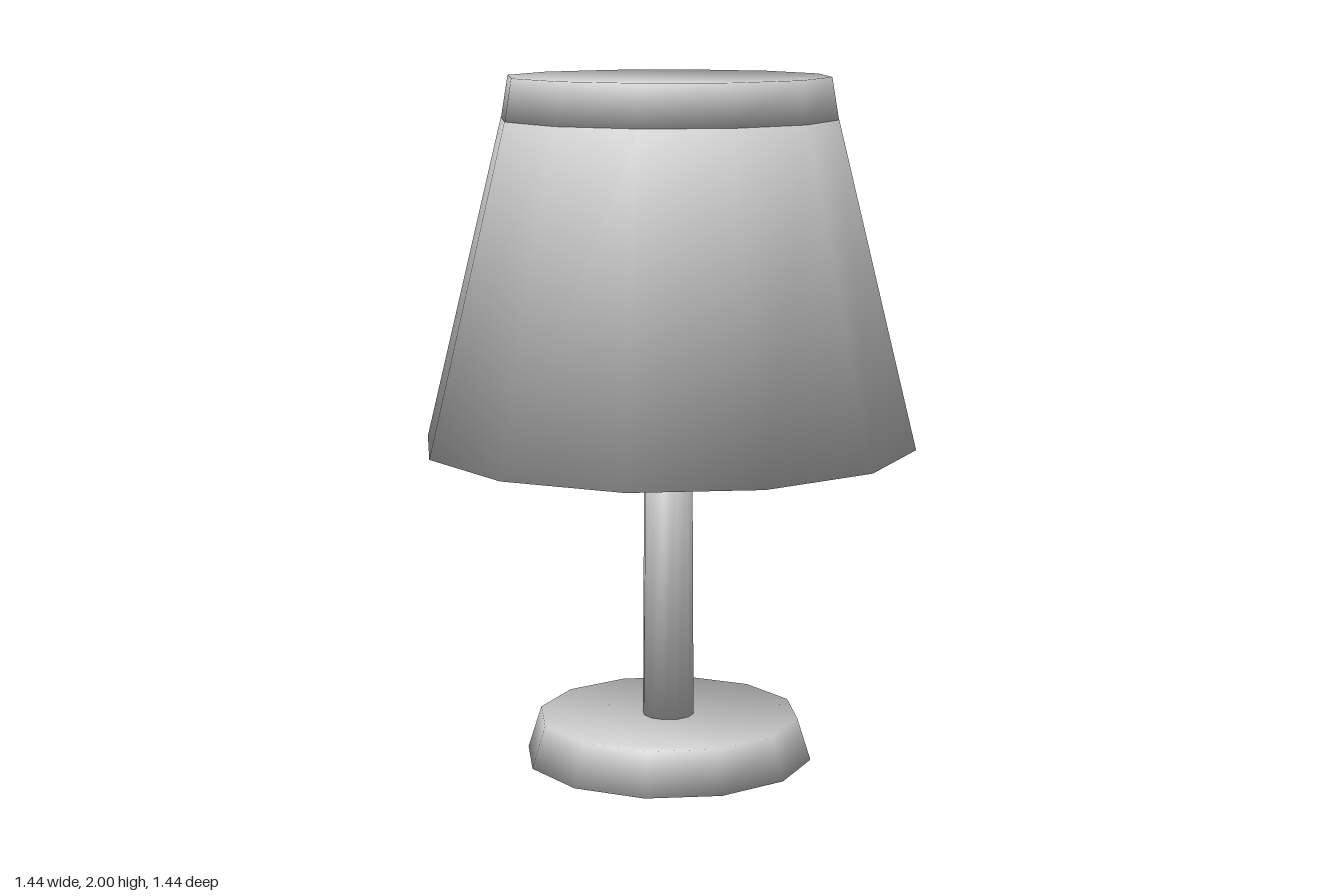
import * as THREE from 'three';

const SIDES = 12;

// Closed twelve-sided frustum whose normals run smoothly over the rims,
// weighted by the corner angles of the cap and the two neighbouring sides.
function softFrustum(rBottom, rTop, y0, y1) {
  const half = Math.PI / SIDES;
  const rise = y1 - y0;
  const run = (rBottom - rTop) * Math.cos(half);
  const slant = Math.hypot(rise, run);
  const capAngle = Math.PI - 2 * half;
  const position = [], normal = [], index = [];

  [[rBottom, y0, -1], [rTop, y1, 1]].forEach(([r, y, dir]) => {
    // Corner angle of one side panel at this rim
    const lean = Math.atan2((rBottom - rTop) * Math.sin(half), slant);
    const sideAngle = 2 * (Math.PI / 2 + dir * lean);
    const out = sideAngle * Math.cos(half) * rise / slant;
    const up = dir * capAngle + sideAngle * run / slant;
    const len = Math.hypot(out, up);
    for (let i = 0; i < SIDES; i++) {
      const a = 2 * half * i;
      position.push(r * Math.sin(a), y, r * Math.cos(a));
      normal.push(out / len * Math.sin(a), up / len, out / len * Math.cos(a));
    }
  });

  for (let i = 0; i < SIDES; i++) {
    const j = (i + 1) % SIDES;
    index.push(i, j, SIDES + j, i, SIDES + j, SIDES + i);
  }
  // Flat caps as fans without a centre point
  for (let i = 1; i < SIDES - 1; i++) {
    index.push(0, i + 1, i, SIDES, SIDES + i, SIDES + i + 1);
  }

  const geometry = new THREE.BufferGeometry();
  geometry.setAttribute('position', new THREE.Float32BufferAttribute(position, 3));
  geometry.setAttribute('normal', new THREE.Float32BufferAttribute(normal, 3));
  geometry.setIndex(index);
  return geometry;
}

export function createModel() {
  const group = new THREE.Group();
  group.name = 'tableLamp';
  const grey = new THREE.MeshStandardMaterial({ color: 0xcccccc });
  grey.name = 'light grey';

  // name, bottom radius, top radius, bottom height, top height
  const parts = [
    ['base', 0.425, 0.385, 0, 0.125],
    ['pole', 0.076, 0.071, 0.1, 0.96],
    ['shade', 0.72, 0.488, 0.94, 1.88],
    ['shadeCap', 0.487, 0.467, 1.88, 2],
  ];
  for (const [name, rBottom, rTop, y0, y1] of parts) {
    const mesh = new THREE.Mesh(softFrustum(rBottom, rTop, y0, y1), grey);
    mesh.name = name;
    group.add(mesh);
  }
  return group;
}
